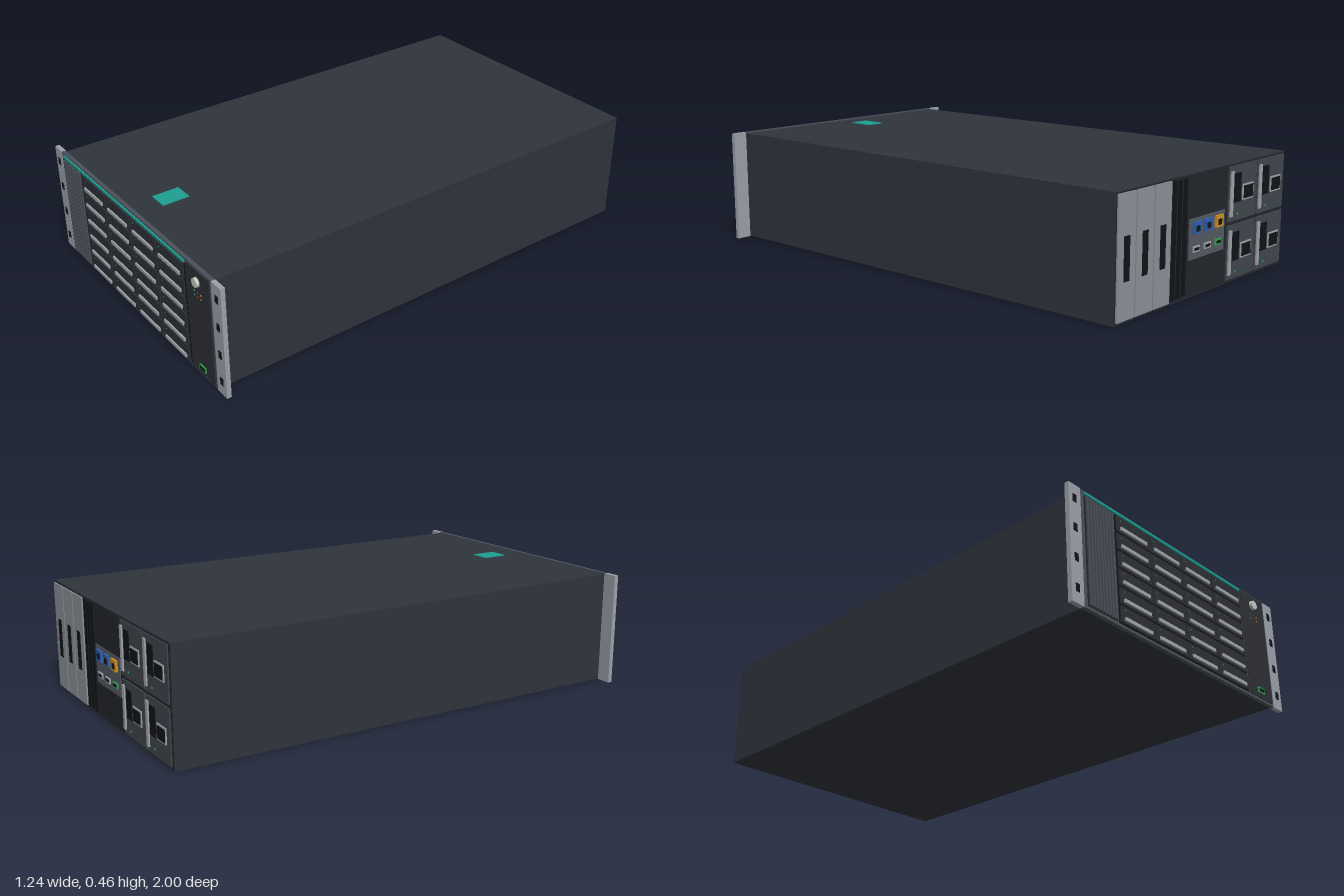
import * as THREE from 'three';

const mats = {};
const mat = (color) => (mats[color] ??= new THREE.MeshStandardMaterial({ color }));
const C = {
  body: 0x2f333b, frame: 0x4a5059, ear: 0x9ca1a9, black: 0x111317, tray: 0x2d3036, teal: 0x1f9e92,
  handle: 0xa0a4aa, psu: 0x41474f, green: 0x2fa84f, blue: 0x2f5fb0, amber: 0xd09020, dark: 0x22252a,
};

export function createModel() {
  const root = new THREE.Group();
  root.name = 'rackServer';

  const group = (name, x = 0, y = 0, parent = root) => {
    const g = new THREE.Group();
    g.name = name;
    g.position.set(x, y, 0);
    parent.add(g);
    return g;
  };
  // Box given by its extents on each axis
  const box = (name, color, [x0, x1], [y0, y1], [z0, z1], parent = root) => {
    const m = new THREE.Mesh(
      new THREE.BoxGeometry(Math.abs(x1 - x0), Math.abs(y1 - y0), Math.abs(z1 - z0)), mat(color));
    m.position.set((x0 + x1) / 2, (y0 + y1) / 2, (z0 + z1) / 2);
    m.name = name;
    parent.add(m);
    return m;
  };
  // Box given by centre and size in x and y
  const plate = (name, color, cx, cy, w, h, z, parent) =>
    box(name, color, [cx - w / 2, cx + w / 2], [cy - h / 2, cy + h / 2], z, parent);

  // Chassis
  box('chassis', C.body, [-0.557, 0.557], [0.002, 0.453], [-0.986, 0.97]);
  box('topLabel', C.teal, [-0.04, 0.04], [0.452, 0.457], [0.76, 0.87]);

  // Front bezel
  box('bezel', C.frame, [-0.56, 0.56], [0, 0.457], [0.968, 0.984]);
  box('accentStrip', C.teal, [-0.54, 0.387], [0.44, 0.45], [0.98, 0.99]);

  // Rack ears with mounting slots
  for (const s of [-1, 1]) {
    const ear = group(s < 0 ? 'rightEar' : 'leftEar');
    box('earPlate', C.ear, [s * 0.558, s * 0.618], [0, 0.457], [0.967, 0.985], ear);
    for (let i = 0; i < 4; i++)
      plate('mountingSlot', C.black, s * 0.59, 0.058 + i * 0.1145, 0.018, 0.03, [0.975, 0.987], ear);
  }

  // Vent grille
  const vent = group('ventGrille');
  box('ventBack', C.dark, [-0.54, -0.39], [0.012, 0.436], [0.98, 0.986], vent);
  for (let i = 0; i < 9; i++)
    plate('ventBar', C.frame, -0.53 + i * 0.0163, 0.224, 0.008, 0.418, [0.984, 0.993], vent);

  // Drive bays: four columns of six trays
  box('driveCage', C.black, [-0.38, 0.388], [0.01, 0.437], [0.98, 0.986]);
  for (let c = 0; c < 4; c++)
    for (let r = 0; r < 6; r++) {
      const bay = group('driveTray', -0.283 + c * 0.191, 0.046 + r * 0.071);
      plate('trayFace', C.tray, 0, 0, 0.184, 0.063, [0.982, 0.991], bay);
      plate('trayHandle', C.handle, 0, -0.016, 0.146, 0.013, [0.988, 0.997], bay);
      plate('trayLight', C.green, -0.07, 0.018, 0.004, 0.004, [0.988, 0.992], bay);
    }

  // Control panel
  const panel = group('controlPanel');
  box('panelFace', C.tray, [0.396, 0.548], [0.01, 0.45], [0.98, 0.988], panel);
  const button = new THREE.Mesh(new THREE.CylinderGeometry(0.018, 0.018, 0.014, 24), mat(0xc4c9c6));
  button.rotation.x = Math.PI / 2;
  button.position.set(0.471, 0.407, 0.993);
  button.name = 'powerButton';
  panel.add(button);
  const ring = new THREE.Mesh(new THREE.TorusGeometry(0.018, 0.002, 8, 24), mat(C.green));
  ring.position.set(0.471, 0.407, 0.988);
  ring.name = 'powerRing';
  panel.add(ring);
  [C.green, 0xa03030, C.amber].forEach((col, i) => {
    for (const y of [0.345, 0.362])
      plate('statusLight', col, 0.45 + i * 0.021, y, 0.005, 0.005, [0.986, 0.99], panel);
  });
  plate('frontPort', C.green, 0.471, 0.04, 0.042, 0.022, [0.986, 0.992], panel);
  plate('frontPortHole', C.black, 0.471, 0.04, 0.032, 0.012, [0.988, 0.993], panel);

  // Rear plate
  box('rearPlate', C.dark, [-0.553, 0.553], [0.006, 0.449], [-0.988, -0.98]);

  // Rear modules with a recessed pull slot
  for (let i = 0; i < 3; i++) {
    const mod = group('rearModule', 0.498 - i * 0.105, 0.228);
    plate('moduleFace', 0x8d9299, 0, 0, 0.099, 0.434, [-0.994, -0.98], mod);
    plate('moduleSlot', C.black, 0, -0.005, 0.032, 0.155, [-0.996, -0.99], mod);
  }

  // Expansion slot covers
  for (let i = 0; i < 3; i++)
    plate('expansionSlot', C.black, 0.214 - i * 0.034, 0.228, 0.023, 0.425, [-0.991, -0.985]);

  // Port panel: network ports above, small connectors below
  const io = group('portPanel');
  plate('portPlate', 0x555b64, 0, 0.215, 0.235, 0.15, [-0.991, -0.985], io);
  [C.blue, C.blue, C.amber].forEach((col, i) => {
    const x = 0.073 - i * 0.073;
    plate('networkPort', col, x, 0.255, 0.048, 0.044, [-1, -0.988], io);
    plate('networkPortHole', C.black, x, 0.252, 0.026, 0.022, [-1.0005, -0.995], io);
    plate('connector', i < 2 ? C.handle : C.green, x, 0.177, 0.042, 0.022, [-0.996, -0.988], io);
    plate('connectorHole', C.black, x, 0.177, 0.03, 0.011, [-0.997, -0.99], io);
  });

  // Power supplies, two by two
  for (const x of [-0.238, -0.445])
    for (const y of [0.118, 0.34]) {
      const psu = group('powerSupply', x, y);
      plate('supplyFace', C.psu, 0, 0, 0.197, 0.208, [-0.993, -0.982], psu);
      plate('supplyHandle', C.handle, 0.083, 0, 0.018, 0.17, [-0.999, -0.99], psu);
      plate('supplyVent', C.black, 0.04, 0.02, 0.046, 0.11, [-0.996, -0.99], psu);
      plate('inletFrame', C.handle, -0.033, -0.003, 0.076, 0.06, [-0.997, -0.99], psu);
      plate('inlet', C.black, -0.033, -0.003, 0.064, 0.048, [-0.999, -0.99], psu);
      plate('supplyLight', C.green, 0.035, -0.08, 0.008, 0.008, [-0.995, -0.99], psu);
    }

  return root;
}
